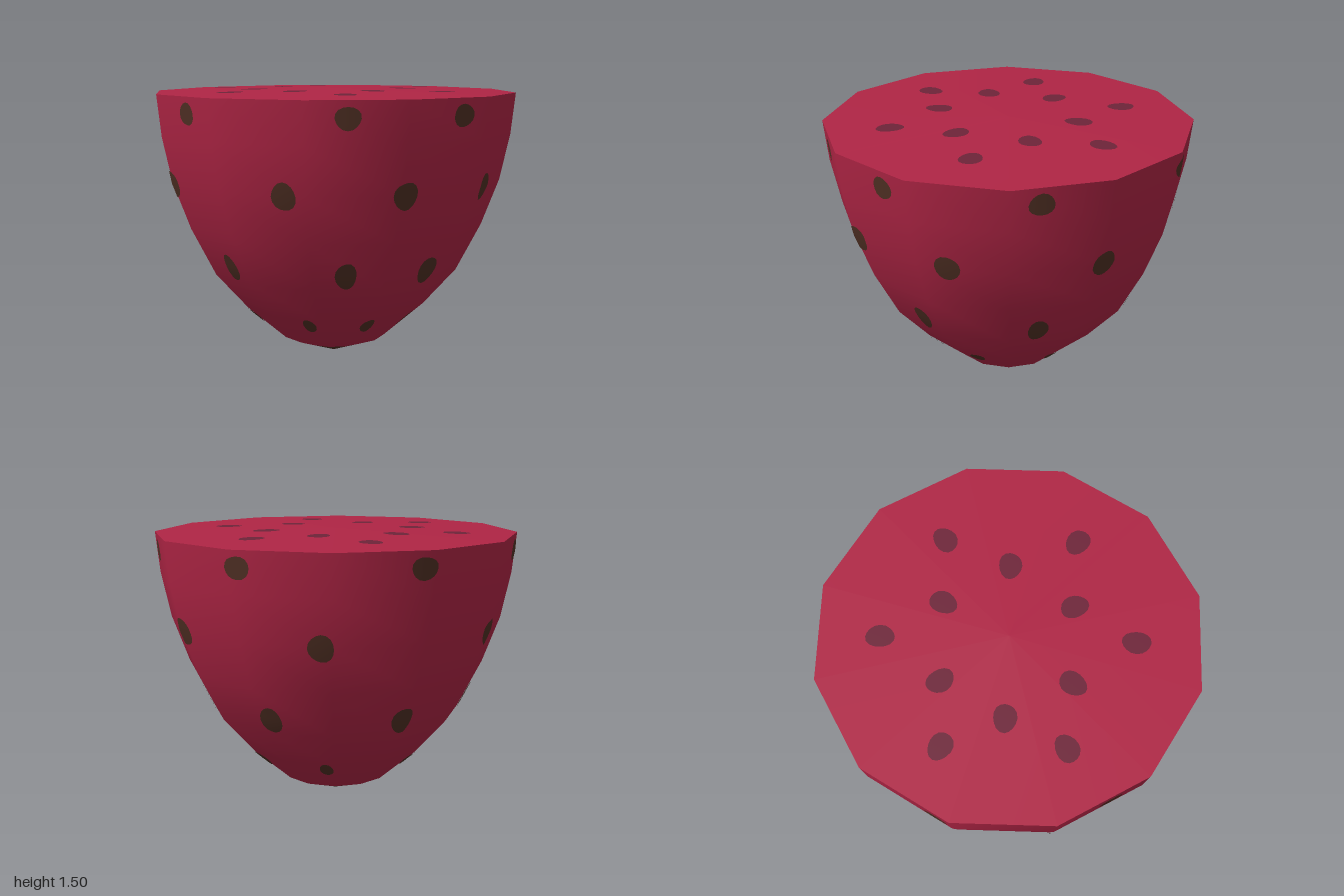
import * as THREE from 'three';

const SIDES = 12;
const STEP = (Math.PI * 2) / SIDES;
const RIM_Y = 1.475, TOP_Y = 1.495;
// Radius and height from the bottom tip region up to the cut rim
const PROFILE = [[0.175, 0.06], [0.29, 0.1], [0.51, 0.29], [0.69, 0.49],
  [0.825, 0.75], [0.92, 1.0], [0.975, 1.25], [1, RIM_Y]];

const vec = ([x, y]) => new THREE.Vector2(x, y);

function profileRadius(y) {
  let i = 1;
  while (i < PROFILE.length - 1 && y > PROFILE[i][1]) i++;
  const [r0, y0] = PROFILE[i - 1], [r1, y1] = PROFILE[i];
  return r0 + ((r1 - r0) * (y - y0)) / (y1 - y0);
}

// Narrowing of the radius on the flat facets between the corners
function facet(a) {
  const t = a - Math.floor(a / STEP) * STEP;
  return Math.cos(STEP / 2) / Math.cos(t - STEP / 2);
}

// Point and smooth normal just above the rind
function onRind(a, y) {
  const slope = (profileRadius(Math.min(y + 0.1, RIM_Y)) - profileRadius(y - 0.1)) /
    (Math.min(y + 0.1, RIM_Y) - y + 0.1);
  const n = new THREE.Vector3(Math.sin(a), -slope, Math.cos(a)).normalize();
  const r = profileRadius(y) * facet(a);
  const p = new THREE.Vector3(r * Math.sin(a), y, r * Math.cos(a)).addScaledVector(n, 0.005);
  return { p, n };
}

// Rounded, slightly uneven patch; place(u, v) maps the unit disc to the surface
function seedGeometry(place, seed) {
  const rings = 4, segs = 16, pos = [], nor = [], index = [];
  const add = (u, v) => {
    const { p, n } = place(u, v);
    pos.push(p.x, p.y, p.z);
    nor.push(n.x, n.y, n.z);
  };
  add(0, 0);
  for (let k = 1; k <= rings; k++) {
    for (let i = 0; i < segs; i++) {
      const t = (i / segs) * Math.PI * 2;
      const r = (k / rings) * (1 + 0.04 * Math.sin(3 * t + seed * 1.7));
      add(r * Math.cos(t), r * Math.sin(t));
      const j = (i + 1) % segs, b = 1 + (k - 1) * segs, a = b - segs;
      if (k === 1) index.push(0, b + i, b + j);
      else index.push(a + i, b + i, b + j, a + i, b + j, a + j);
    }
  }
  const g = new THREE.BufferGeometry();
  g.setAttribute('position', new THREE.Float32BufferAttribute(pos, 3));
  g.setAttribute('normal', new THREE.Float32BufferAttribute(nor, 3));
  g.setIndex(index);
  return g;
}

export function createModel() {
  const material = (name, color) => new THREE.MeshStandardMaterial({ name, color });
  const red = material('fruitRed', 0xb02545);
  const brown = material('seedBrown', 0x503024);
  const plum = material('cutSeedPlum', 0x6e2439);

  const model = new THREE.Group();
  model.name = 'halfFruit';
  const add = (parent, name, geometry, mat) => {
    const m = new THREE.Mesh(geometry, mat);
    m.name = name;
    parent.add(m);
  };

  // Rind, cut face and dark bottom tip
  add(model, 'rind', new THREE.LatheGeometry(PROFILE.map(vec), SIDES), red);
  add(model, 'cutFace', new THREE.LatheGeometry([[1, RIM_Y], [0, TOP_Y]].map(vec), SIDES), red);
  add(model, 'bottomTip', new THREE.LatheGeometry([[0, 0], [0.175, 0.06]].map(vec), SIDES), brown);

  // Seeds on the rind: rows of angles around the axis, in degrees
  const rindSeeds = new THREE.Group();
  rindSeeds.name = 'rindSeeds';
  model.add(rindSeeds);
  const rows = [
    { y: 1.387, w: 0.067, h: 0.058, angles: [-17.5, 20.5, 69, 122, 177, 235, 288] },
    { y: 1.0, w: 0.068, h: 0.072, angles: [1.4, 40, 91, 146.5, 212, 270, 322.5] },
    { y: 0.573, w: 0.057, h: 0.073, angles: [-16.6, 21, 72, 124, 179, 236, 290] },
    { y: 0.247, w: 0.038, h: 0.044, angles: [1.4, 38, 91, 145, 211, 269, 322] },
  ];
  rows.forEach(({ y, w, h, angles }, row) => angles.forEach((deg, i) => {
    const a = THREE.MathUtils.degToRad(deg), r = profileRadius(y);
    const place = (u, v) => onRind(a + (u * w) / r, y + v * h);
    add(rindSeeds, 'rindSeed', seedGeometry(place, row * 7 + i), brown);
  }));

  // Seeds on the cut face, stretched away from the centre
  const cutSeeds = new THREE.Group();
  cutSeeds.name = 'cutSeeds';
  model.add(cutSeeds);
  const spots = [[0.15, -0.635], [-0.487, -0.46], [-0.155, -0.39], [0.257, -0.285],
    [0.604, -0.2], [-0.42, -0.12], [-0.64, 0.14], [0.38, 0.095],
    [-0.32, 0.25], [0.08, 0.36], [0.433, 0.468], [-0.18, 0.617]];
  spots.forEach(([x, z], i) => {
    const d = Math.hypot(x, z), s = x / d, c = z / d;
    const place = (u, v) => {
      const px = x + u * 0.075 * s + v * 0.06 * c;
      const pz = z + u * 0.075 * c - v * 0.06 * s;
      const y = RIM_Y + (TOP_Y - RIM_Y) * (1 - Math.hypot(px, pz)) + 0.004;
      return { p: new THREE.Vector3(px, y, pz), n: new THREE.Vector3(0, 1, 0) };
    };
    add(cutSeeds, 'cutSeed', seedGeometry(place, i), plum);
  });

  return model;
}
